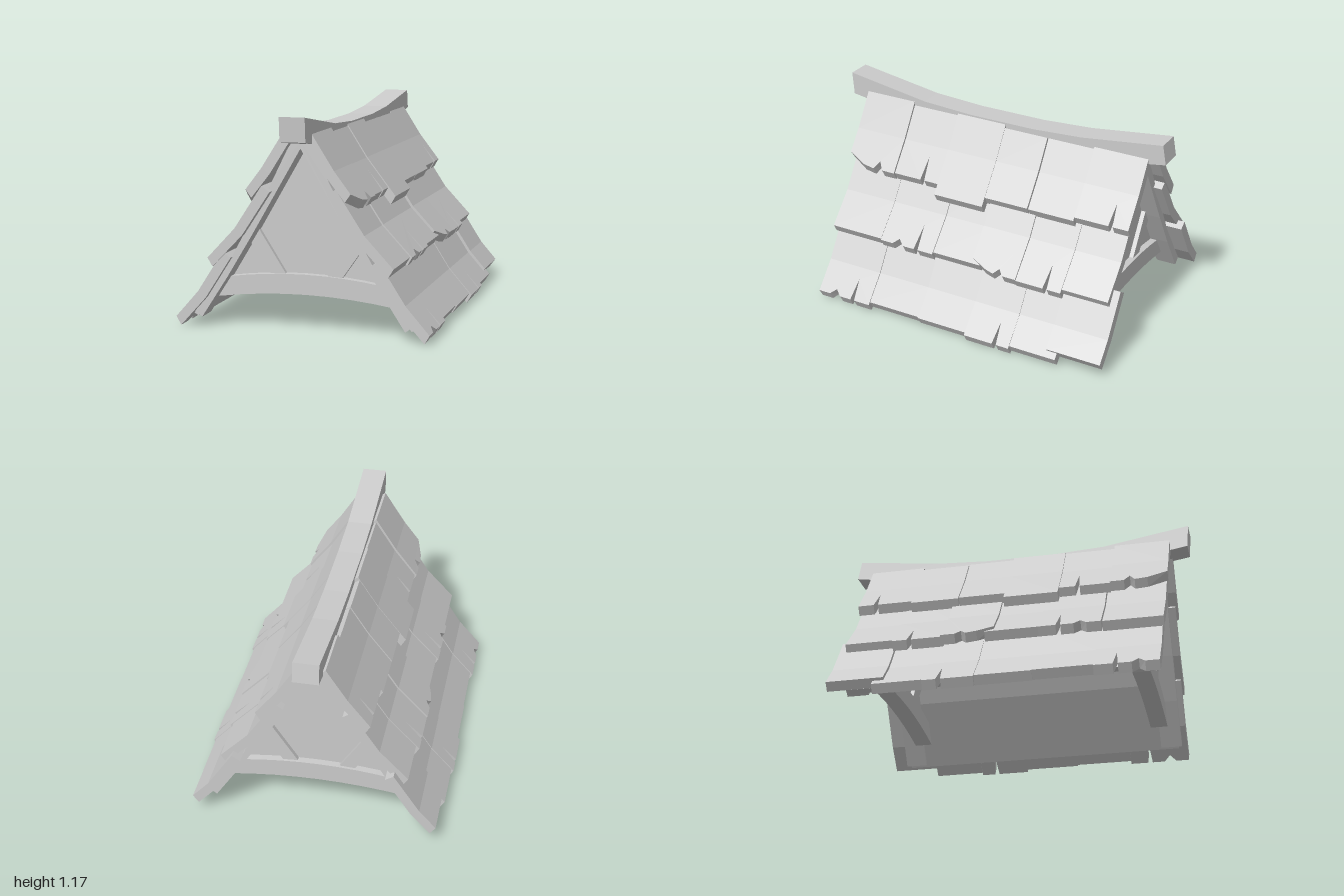
import * as THREE from 'three';
import { mergeGeometries } from 'three/addons/utils/BufferGeometryUtils.js';

const mat = new THREE.MeshStandardMaterial({ color: 0xcccccc, flatShading: true, side: THREE.DoubleSide });
const shapeOf = (pts) => new THREE.Shape(pts.map(([x, y]) => new THREE.Vector2(x, y)));
const extrude = (pts, depth) => new THREE.ExtrudeGeometry(shapeOf(pts), { depth, bevelEnabled: false });

function add(parent, name, geometry) {
  const mesh = new THREE.Mesh(geometry, mat);
  mesh.name = name;
  parent.add(mesh);
  return mesh;
}

// Outline in the xy plane, extruded between two z values
function slab(parent, name, pts, z0, z1) {
  add(parent, name, extrude(pts, z1 - z0)).position.z = z0;
}

// Split in the lower edge of a shingle: [z, change in length]
const split = (z, depth, end = 0, half = 0.013) => [[z - half, end], [z, end - depth], [z + half, end]];

// Bent shingle: flat outlines (z, length down the slope), wrapped over the row's three-point profile
function shingle(row, { z0, z1, top = 0, end = 0, edge = [], lift = 0 }) {
  const [a, b, c] = row.map(([x, y]) => new THREE.Vector2(x, y));
  const l1 = a.distanceTo(b), l2 = b.distanceTo(c), thick = 0.055;
  const perp = (p, q) => new THREE.Vector2(p.y - q.y, q.x - p.x).normalize();
  const na = perp(a, b), nb = perp(a, b).add(perp(b, c)).normalize(), nc = new THREE.Vector2(0.5, 0.86);
  const first = Array.isArray(end) ? end[0] : end, last = Array.isArray(end) ? end[1] : end;
  const low = [[z0, first], ...edge, [z1, last]].map(([z, d]) => [z, l1 + l2 + d]);
  const parts = [
    extrude([[z0, top], [z1, top], [z1, l1], [z0, l1]], thick),
    extrude([[z1, l1], [z0, l1], ...low], thick),
  ];
  const geometry = mergeGeometries(parts);
  const pos = geometry.attributes.position;
  for (let i = 0; i < pos.count; i++) {
    const z = pos.getX(i), v = pos.getY(i), w = pos.getZ(i) - thick + lift;
    const upper = v <= l1 + 1e-5;
    const t = upper ? v / l1 : (v - l1) / l2;
    const p = upper ? a.clone().lerp(b, t) : b.clone().lerp(c, t);
    const k = THREE.MathUtils.clamp(t, 0, 1);
    const n = upper ? na.clone().lerp(nb, k) : nb.clone().lerp(nc, k);
    pos.setXYZ(i, p.x + n.x * w, p.y + n.y * w, z);
  }
  geometry.computeVertexNormals();
  return geometry;
}

const rows = [
  {
    name: 'upperShingle', profile: [[0.075, 1.07], [0.19, 0.89], [0.31, 0.735]],
    tiles: [
      { z0: -0.90, z1: -0.58, edge: split(-0.795, 0.13) },
      { z0: -0.58, z1: -0.303, top: 0.02, end: 0.02 },
      { z0: -0.297, z1: -0.03, top: 0.02, end: 0.02, lift: 0.003 },
      { z0: -0.03, z1: 0.28, end: 0.075, lift: 0.006 },
      { z0: 0.28, z1: 0.57, end: 0.01, edge: split(0.385, 0.14, 0.01) },
      { z0: 0.57, z1: 0.89, top: -0.015, end: [0.02, -0.045], lift: 0.012,
        edge: [...split(0.68, 0.05, 0.02, 0.03), [0.78, 0.01]] },
    ],
  },
  {
    name: 'middleShingle', profile: [[0.205, 0.80], [0.36, 0.565], [0.52, 0.395]],
    tiles: [
      { z0: -0.89, z1: -0.61, end: -0.005 },
      { z0: -0.615, z1: -0.33, end: 0.02, edge: split(-0.52, 0.14, 0.02), lift: 0.005 },
      { z0: -0.34, z1: -0.05, end: [0.02, -0.04], lift: 0.014,
        edge: [...split(-0.23, 0.035, 0.02, 0.03), [-0.14, 0.005]] },
      { z0: -0.10, z1: 0.20, end: -0.01 },
      { z0: 0.20, z1: 0.545, end: 0.005, lift: 0.006,
        edge: [...split(0.31, 0.15, 0.005), ...split(0.43, 0.035, 0.005, 0.035)] },
      { z0: 0.55, z1: 0.88, end: -0.005 },
    ],
  },
  {
    name: 'lowerShingle', profile: [[0.43, 0.43], [0.575, 0.205], [0.705, 0.058]],
    tiles: [
      { z0: -0.93, z1: -0.61, end: -0.05, lift: 0.016 },
      { z0: -0.67, z1: -0.39, end: -0.012 },
      { z0: -0.39, z1: -0.11, end: 0.005, edge: split(-0.30, 0.13, 0.005), lift: 0.004 },
      { z0: -0.11, z1: 0.20, end: -0.012 },
      { z0: 0.20, z1: 0.525, end: -0.018 },
      { z0: 0.525, z1: 0.87, end: 0.002, lift: 0.005,
        edge: [...split(0.64, 0.13, 0.002), ...split(0.76, 0.035, 0.002, 0.035)] },
    ],
  },
];

// One slope of the roof with its half of the gable timbers, on the +x side
function slope() {
  const side = new THREE.Group();
  for (const { name, profile, tiles } of rows) {
    for (const tile of tiles) add(side, name, shingle(profile, tile));
  }
  // Boards under the shingles
  const outer = [[0.05, 1.04], [0.17, 0.80], [0.40, 0.39], [0.625, 0.075]];
  const inner = [[0.60, 0.06], [0.37, 0.38], [0.14, 0.79], [0.02, 1.03]];
  slab(side, 'roofBoard', [...outer, ...inner], -0.82, 0.82);
  // Rafters and braces at each gable
  const rafter = [[0.05, 1.04], [0.17, 0.80], [0.40, 0.39], [0.61, 0.09],
    [0.57, 0.06], [0.42, 0.29], [0.28, 0.52], [0, 1.0], [0, 1.04]];
  const brace = [[0.27, 0.55], [0.11, 0.30], [0.19, 0.29], [0.315, 0.47]];
  for (const s of [-1, 1]) {
    slab(side, 'rafter', rafter, s * 0.78 - 0.06, s * 0.78 + 0.06);
    slab(side, 'brace', brace, s * 0.72 - 0.035, s * 0.72 + 0.035);
  }
  return side;
}

export function createModel() {
  const roof = new THREE.Group();
  roof.name = 'roof';

  const left = slope(), right = slope();
  left.name = 'leftSlope';
  right.name = 'rightSlope';
  right.scale.x = -1;
  roof.add(left, right);

  // Arched tie beam and wall panel at each gable
  const arc = (w, yMid, yEnd) => [-1, -0.75, -0.5, -0.25, 0, 0.25, 0.5, 0.75, 1]
    .map((t) => [t * w, yMid + (yEnd - yMid) * t * t]);
  const tie = [...arc(0.5, 0.205, 0.165), ...arc(0.43, 0.315, 0.28).reverse()];
  const wall = [[-0.45, 0.25], [0.45, 0.25], [0.3, 0.53], [0, 1.03], [-0.3, 0.53]];
  for (const s of [-1, 1]) {
    slab(roof, 'tieBeam', tie, s * 0.72 - 0.05, s * 0.72 + 0.05);
    slab(roof, 'gableWall', wall, s * 0.72 - 0.01, s * 0.72 + 0.01);
  }

  // Sagging ridge beam, its side outline drawn in (-z, y) and turned along z
  const ridge = extrude([
    [-0.99, 1.05], [-0.5, 0.97], [0, 0.945], [0.5, 0.97], [0.99, 1.05],
    [0.98, 1.16], [0.5, 1.10], [0.2, 1.083], [-0.2, 1.083], [-0.5, 1.10], [-1, 1.18],
  ].map(([x, y]) => [x === 0.99 ? 1 : x, y]), 0.14);
  ridge.rotateY(Math.PI / 2);
  ridge.translate(-0.06, 0, 0);
  add(roof, 'ridgeBeam', ridge);
  return roof;
}
